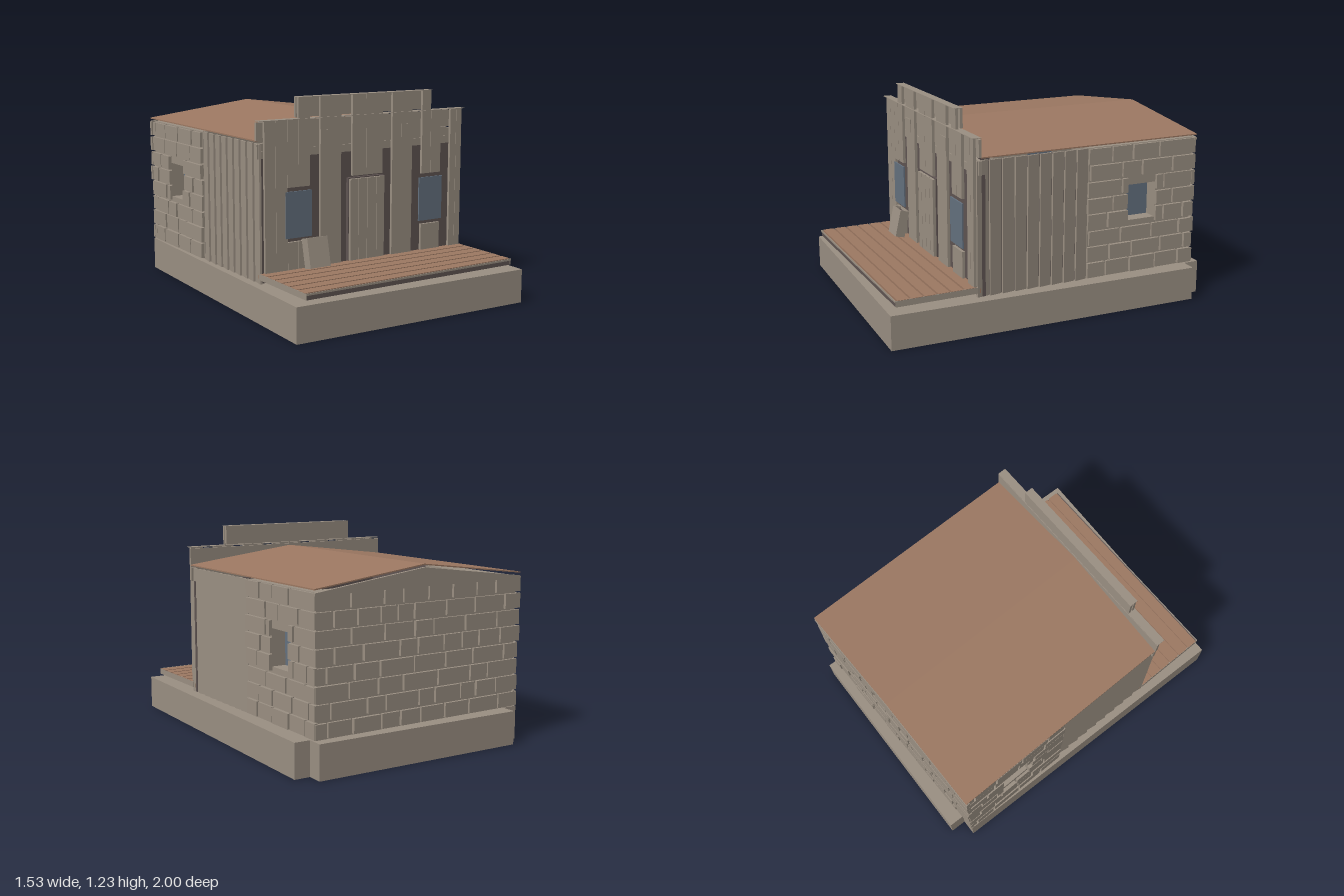
import * as THREE from 'three';

const mat = (name, color) => {
  const m = new THREE.MeshStandardMaterial({ color });
  m.name = name;
  return m;
};

export function createModel() {
  const wood = mat('weathered grey', 0x9a8f82);
  const clay = mat('rusty brown', 0x9c7862);
  const dark = mat('dark timber', 0x5f5452);
  const glass = mat('dull blue glass', 0x64717f);

  const model = new THREE.Group();
  model.name = 'frontierShack';

  // Box given by its limits on each axis
  const box = (parent, name, m, x0, x1, y0, y1, z0, z1) => {
    const mesh = new THREE.Mesh(new THREE.BoxGeometry(x1 - x0, y1 - y0, z1 - z0), m);
    mesh.position.set((x0 + x1) / 2, (y0 + y1) / 2, (z0 + z1) / 2);
    mesh.name = name;
    parent.add(mesh);
    return mesh;
  };

  // Seeded random numbers for the stonework
  let seed = 11;
  const rand = () => (seed = (seed * 16807) % 2147483647) / 2147483647;

  // Foundation
  box(model, 'foundation', wood, -0.76, 0.76, 0, 0.2, -0.905, 1);
  box(model, 'rearFoundation', wood, -0.665, 0.665, 0, 0.2, -1, -0.9);

  // The building stands slightly askew on the foundation
  const house = new THREE.Group();
  house.name = 'house';
  house.position.x = -0.022;
  house.rotation.y = 0.028;
  model.add(house);

  // Courses of irregular stones; put(u0, u1, y0, y1, depth) places one stone
  const stonework = (u0, u1, hole, put) => {
    const rows = 8, h = 0.78 / rows;
    for (let r = 0; r < rows; r++) {
      const y0 = 0.2 + r * h + 0.006, y1 = y0 + h - 0.014 + rand() * 0.006;
      const blocked = hole && y1 > hole.y0 && y0 < hole.y1;
      let u = u0 + rand() * 0.02 - 0.01;
      while (u < u1 - 0.03) {
        let end = Math.min(u + 0.1 + rand() * 0.13, u1);
        if (u1 - end < 0.05) end = u1;
        const d = 0.014 + rand() * 0.008;
        if (blocked && u < hole.u1 && end > hole.u0) {
          if (hole.u0 - u > 0.02) put(u, hole.u0, y0, y1, d);
          if (end - hole.u1 > 0.02) put(hole.u1, end, y0, y1, d);
        } else put(u, end, y0, y1, d);
        u = end + 0.012;
      }
    }
  };

  // Rear stone wall
  const rear = new THREE.Group();
  rear.name = 'rearStoneWall';
  house.add(rear);
  box(rear, 'rearWall', wood, -0.692, 0.692, 0.2, 0.98, -0.915, -0.82);
  stonework(-0.71, 0.71, null, (a, b, y0, y1, d) =>
    box(rear, 'stone', wood, a, b, y0, y1, -0.915 - d, -0.91));

  // Side walls: stone with a deep window at the rear, upright planks at the front
  const hole = { u0: 0.47, u1: 0.665, y0: 0.52, y1: 0.735 };
  const wallShape = new THREE.Shape([[0.21, 0.2], [0.9, 0.2], [0.9, 0.98], [0.21, 0.98]]
    .map(p => new THREE.Vector2(...p)));
  wallShape.holes.push(new THREE.Path([[hole.u0, hole.y0], [hole.u0, hole.y1], [hole.u1, hole.y1], [hole.u1, hole.y0]]
    .map(p => new THREE.Vector2(...p))));
  const wallGeo = new THREE.ExtrudeGeometry(wallShape, { depth: 0.1, bevelEnabled: false }).rotateY(Math.PI / 2);

  for (const s of [1, -1]) {
    const side = new THREE.Group();
    side.name = s > 0 ? 'leftWall' : 'rightWall';
    house.add(side);
    const across = (name, m, xa, xb, y0, y1, z0, z1) =>
      box(side, name, m, Math.min(s * xa, s * xb), Math.max(s * xa, s * xb), y0, y1, z0, z1);

    const wall = new THREE.Mesh(wallGeo, wood);
    wall.name = 'sideStoneWall';
    wall.position.x = s > 0 ? 0.592 : -0.692;
    side.add(wall);
    stonework(0.21, 0.925, hole, (a, b, y0, y1, d) =>
      across('stone', wood, 0.688, 0.692 + d, y0, y1, -b, -a));
    across('sideWindow', glass, 0.6, 0.608, hole.y0, hole.y1, -hole.u1, -hole.u0);

    across('plankBacking', dark, 0.65, 0.682, 0.2, 0.97, -0.21, 0.475);
    const n = 9, w = 0.7 / n;
    for (let i = 0; i < n; i++) {
      const z = -0.205 + i * w;
      const plank = across('sidePlank', wood, 0.686, 0.698, 0.2, 0.98, z, z + w - 0.003);
      plank.rotation.y = s * 0.14;
    }
  }

  // Gabled ends under the roof
  const gableShape = new THREE.Shape([[-0.712, 0.9], [0.712, 0.9], [0.712, 0.98], [0, 1.07], [-0.712, 0.98]]
    .map(p => new THREE.Vector2(...p)));
  const rearShape = new THREE.Shape([[-0.712, 0.965], [0.712, 0.965], [0.712, 0.98], [0, 1.07], [-0.712, 0.98]]
    .map(p => new THREE.Vector2(...p)));
  for (const [name, shape, z] of [['frontGable', gableShape, 0.465], ['rearGable', rearShape, -0.935]]) {
    const g = new THREE.Mesh(new THREE.ExtrudeGeometry(shape, { depth: 0.018, bevelEnabled: false }), wood);
    g.name = name;
    g.position.z = z;
    house.add(g);
  }

  // Thin pitched roof
  const roofShape = new THREE.Shape([[-0.713, 0.995], [0, 1.083], [0.713, 0.995], [0.713, 1.002], [0, 1.09], [-0.713, 1.002]]
    .map(p => new THREE.Vector2(...p)));
  const roof = new THREE.Mesh(new THREE.ExtrudeGeometry(roofShape, { depth: 1.4, bevelEnabled: false }), clay);
  roof.name = 'roof';
  roof.position.z = -0.932;
  house.add(roof);

  // Front wall and its boards
  const front = new THREE.Group();
  front.name = 'falseFront';
  front.position.x = 0.009;
  house.add(front);
  box(front, 'frontWall', dark, -0.7, 0.69, 0.2, 0.9, 0.44, 0.478);
  box(front, 'frontTrim', wood, -0.71, 0.69, 0.9, 0.943, 0.478, 0.49);
  box(front, 'lowerParapet', wood, -0.725, 0.705, 1.0, 1.1, 0.468, 0.484);
  box(front, 'upperParapet', wood, -0.475, 0.455, 1.115, 1.23, 0.468, 0.484);
  box(front, 'lowerCap', wood, -0.725, 0.705, 1.107, 1.11, 0.468, 0.52);
  box(front, 'upperCap', wood, -0.475, 0.455, 1.227, 1.23, 0.468, 0.52);
  const planks = [
    [-0.69, -0.621, 0.262, 1.107], [-0.619, -0.546, 0.262, 1.107],
    [-0.544, -0.476, 0.73, 1.107], [-0.474, -0.4, 0.73, 1.227],
    [-0.544, -0.476, 0.262, 0.42], [-0.474, -0.4, 0.262, 0.42],
    [-0.33, -0.19, 0.262, 1.227],
    [-0.112, -0.018, 0.76, 1.227], [-0.016, 0.1, 0.76, 1.227],
    [0.17, 0.315, 0.262, 1.227],
    [0.39, 0.454, 0.73, 1.227], [0.456, 0.53, 0.73, 1.107], [0.39, 0.53, 0.262, 0.42],
    [0.605, 0.648, 0.262, 1.107], [0.65, 0.69, 0.262, 1.107],
  ];
  for (const [a, b, y0, y1] of planks) box(front, 'frontPlank', wood, a, b, y0, y1, 0.495, 0.512);
  for (const x of [-0.33, 0.232]) box(front, 'patchBoard', wood, x, x + 0.083, 0.96, 1.04, 0.5, 0.516);
  for (const x of [-0.56, 0.37]) box(front, 'frontWindow', glass, x, x + 0.172, 0.443, 0.707, 0.507, 0.516);

  // Plank door
  box(front, 'doorFrame', dark, -0.132, 0.118, 0.262, 0.748, 0.478, 0.5);
  const cuts = [-0.128, -0.07, -0.01, 0.056, 0.113];
  for (let i = 0; i < 4; i++)
    box(front, 'doorPlank', wood, cuts[i], cuts[i + 1] - 0.003, 0.264, 0.742, 0.5, 0.518);

  // Porch deck
  const porch = new THREE.Group();
  porch.name = 'porch';
  house.add(porch);
  const W = 0.705, boards = 6, step = 0.475 / boards;
  box(porch, 'deckFascia', dark, -W + 0.004, W - 0.004, 0.225, 0.25, 0.969, 0.974);
  box(porch, 'deckBase', clay, -W + 0.004, W - 0.004, 0.225, 0.25, 0.47, 0.969);
  for (const s of [-1, 1]) box(porch, 'deckEdge', wood, s * (W - 0.002) - 0.003, s * (W - 0.002) + 0.003, 0.225, 0.26, 0.49, 0.974);
  for (let i = 0; i < boards; i++)
    box(porch, 'deckBoard', clay, -W, W, 0.25, 0.262, 0.5 + i * step, 0.5 + (i + 1) * step - 0.012);
  box(porch, 'deckLip', wood, -W, W, 0.25, 0.261, 0.974, 0.978);

  // Crate leaning towards the wall
  const crate = new THREE.Group();
  crate.name = 'leaningCrate';
  crate.position.set(-0.378, 0.355, 0.557);
  crate.rotation.x = -0.22;
  house.add(crate);
  box(crate, 'crateFront', wood, -0.067, 0.067, -0.085, 0.085, 0.022, 0.03);
  box(crate, 'crateBack', wood, -0.067, 0.067, -0.085, 0.085, -0.03, -0.022);
  for (const s of [-1, 1])
    box(crate, 'crateSide', wood, s * 0.063 - 0.004, s * 0.063 + 0.004, -0.085, 0.085, -0.022, 0.022);
  box(crate, 'crateInside', dark, -0.059, 0.059, -0.085, 0.07, -0.022, 0.022);

  return model;
}
